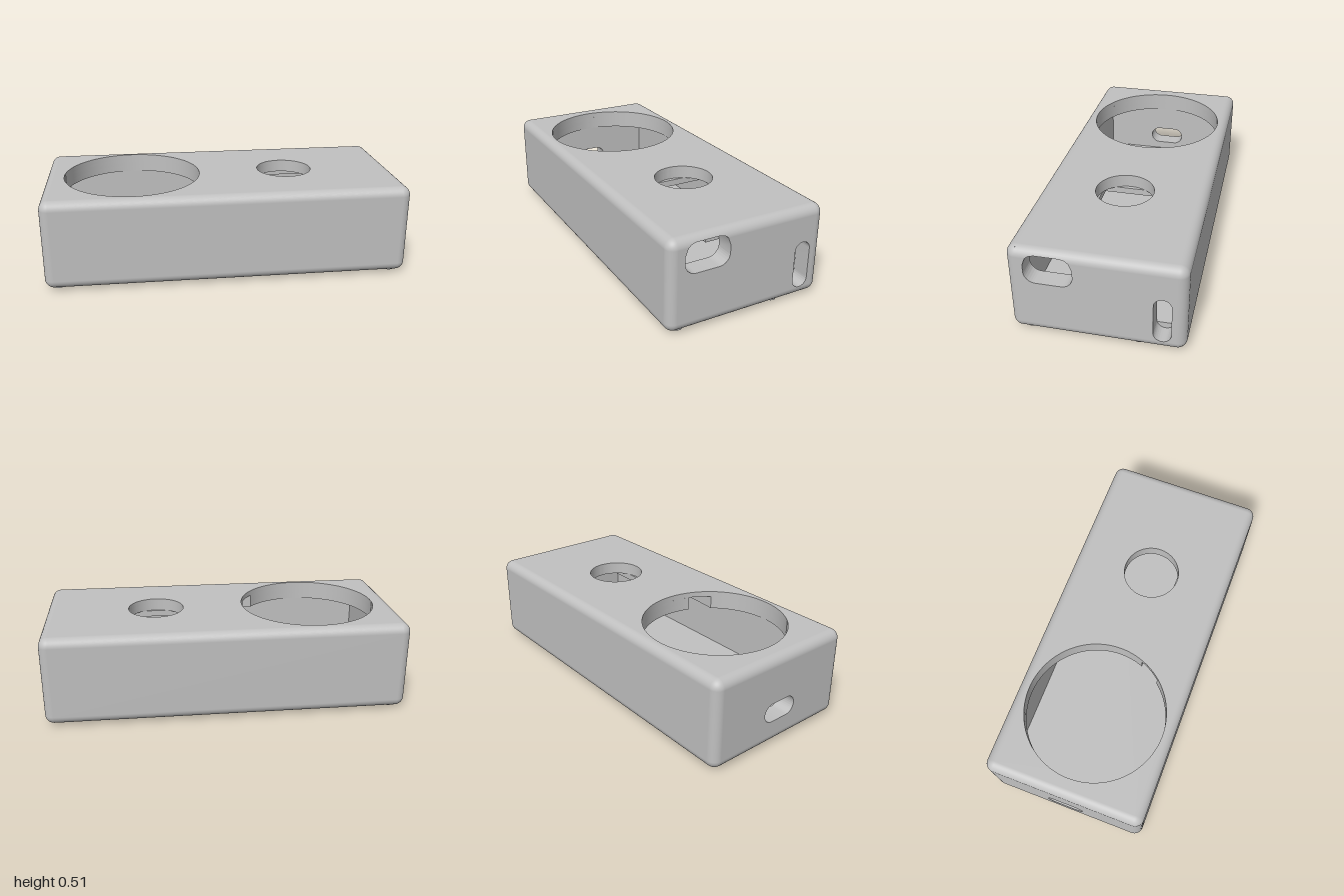
import * as THREE from 'three';
import { toCreasedNormals } from 'three/addons/utils/BufferGeometryUtils.js';
import { RoundedBoxGeometry } from 'three/addons/geometries/RoundedBoxGeometry.js';

const R = 0.05, TOP = 0.51, BASE = 0.015, H = TOP - BASE, MID = (TOP + BASE) / 2;
const FX = 1 - R, FZ = 0.445 - R, FY = TOP - R; // limits of the flat faces
const INNER = 0.9; // inside of the end walls
// large port on the +x end
const port = { z: 0.235, half: 0.123, low: 0.32, high: 0.48, r: 0.06 };
const portHalf = (y) => {
  const d = Math.max(0, y - (port.high - port.r));
  return port.half - port.r + Math.sqrt(Math.max(0, port.r ** 2 - d * d));
};

function extrude(shape, depth) {
  const geo = new THREE.ExtrudeGeometry(shape, { depth, bevelEnabled: false, curveSegments: 64 });
  return toCreasedNormals(geo, 0.5);
}

const rect = (Type, x0, y0, x1, y1) => new Type([[x0, y0], [x1, y0], [x1, y1], [x0, y1]].map((p) => new THREE.Vector2(...p)));

function circle(x, r) {
  const p = new THREE.Path();
  p.absarc(x, 0, r, 0, Math.PI * 2, true);
  return p;
}

// stadium-shaped hole
function stadium(cx, cy, hw, hh) {
  const p = new THREE.Path(), r = Math.min(hw, hh), dx = hw - r, dy = hh - r;
  [[1, 1], [-1, 1], [-1, -1], [1, -1]].forEach(([sx, sy], i) =>
    p.absarc(cx + sx * dx, cy + sy * dy, r, i * Math.PI / 2, (i + 1) * Math.PI / 2));
  return p;
}

// rounded outer edges, without the faces that carry openings
function casingGeometry() {
  const src = new RoundedBoxGeometry(2, H, 0.89, 6, R);
  const p = src.attributes.position, n = src.attributes.normal, e = 1e-4;
  const pos = [], nor = [];
  for (let i = 0; i < p.count; i += 3) {
    const t = [i, i + 1, i + 2];
    const end = [1, -1].some((s) => t.every((k) => p.getX(k) * s > 1 - e));
    const top = t.every((k) => p.getY(k) > H / 2 - e);
    const edge = t.every((k) => p.getX(k) > FX - e && p.getY(k) > H / 2 - R - e && Math.abs(p.getZ(k)) < FZ + e);
    if (end || top || edge) continue;
    for (const k of t) {
      pos.push(p.getX(k), p.getY(k), p.getZ(k));
      nor.push(n.getX(k), n.getY(k), n.getZ(k));
    }
  }
  const g = new THREE.BufferGeometry();
  g.setAttribute('position', new THREE.Float32BufferAttribute(pos, 3));
  g.setAttribute('normal', new THREE.Float32BufferAttribute(nor, 3));
  return g;
}

// rounded top edge of the +x end, with the upper part of the port left open
function portEdgeGeometry() {
  const pos = [], nor = [];
  const open = Math.asin((port.high - FY) / R), rows = [];
  for (let i = 0; i <= 4; i++) rows.push(open * i / 4);
  for (let i = 1; i <= 6; i++) rows.push(open + (Math.PI / 2 - open) * i / 6);
  const add = (a, z) => {
    pos.push(FX + R * Math.cos(a), FY + R * Math.sin(a), z);
    nor.push(Math.cos(a), Math.sin(a), 0);
  };
  const strip = (a, b, a0, a1, b0, b1) => {
    add(a, a0); add(b, b1); add(a, a1);
    add(a, a0); add(b, b0); add(b, b1);
  };
  for (let i = 0; i < rows.length - 1; i++) {
    const a = rows[i], b = rows[i + 1];
    if (i < 4) {
      const wa = portHalf(FY + R * Math.sin(a)), wb = portHalf(FY + R * Math.sin(b));
      strip(a, b, port.z + wa, FZ, port.z + wb, FZ);
      strip(a, b, -FZ, port.z - wa, -FZ, port.z - wb);
    } else strip(a, b, -FZ, FZ, -FZ, FZ);
  }
  // wind each triangle outward
  for (let i = 0; i < pos.length; i += 9) {
    const v = [0, 3, 6].map((k) => new THREE.Vector3().fromArray(pos, i + k));
    const f = v[1].clone().sub(v[0]).cross(v[2].clone().sub(v[0]));
    if (f.dot(new THREE.Vector3().fromArray(nor, i)) < 0) {
      for (const arr of [pos, nor]) {
        const m = arr.slice(i + 3, i + 6);
        for (let k = 0; k < 3; k++) { arr[i + 3 + k] = arr[i + 6 + k]; arr[i + 6 + k] = m[k]; }
      }
    }
  }
  const g = new THREE.BufferGeometry();
  g.setAttribute('position', new THREE.Float32BufferAttribute(pos, 3));
  g.setAttribute('normal', new THREE.Float32BufferAttribute(nor, 3));
  return g;
}

// lid layer outline: the large opening joined to the port by a channel (shape y is -z)
function channelShape(x) {
  const s = new THREE.Shape();
  s.moveTo(x, -0.112);
  s.lineTo(x, FZ);
  s.lineTo(-x, FZ);
  s.lineTo(-x, -FZ);
  s.lineTo(x, -FZ);
  if (x > INNER) s.lineTo(x, -0.358);
  if (x > INNER) s.lineTo(INNER, -0.358);
  s.lineTo(INNER, -0.315);
  s.absarc(-0.51, 0, 0.385, Math.atan2(-0.25, 0.293), Math.atan2(-0.137, 0.36), true);
  s.lineTo(INNER, -0.19);
  if (x > INNER) s.lineTo(INNER, -0.112);
  return s;
}

// end wall outline (shape x is -z) with the port as a notch in its top edge
function portWallShape() {
  const s = new THREE.Shape(), c = -port.z, { half, r, low } = port;
  s.moveTo(-FZ, FY);
  s.lineTo(c - portHalf(FY), FY);
  s.lineTo(c - half, port.high - r);
  s.absarc(c - half + r, low + r, r, Math.PI, Math.PI * 1.5);
  s.absarc(c + half - r, low + r, r, Math.PI * 1.5, Math.PI * 2);
  s.lineTo(c + half, port.high - r);
  s.lineTo(c + portHalf(FY), FY);
  s.lineTo(FZ, FY);
  s.lineTo(FZ, BASE + R);
  s.lineTo(-FZ, BASE + R);
  s.holes.push(stadium(0.326, 0.195, 0.045, 0.129));
  return s;
}

export function createModel() {
  const model = new THREE.Group();
  const grey = new THREE.MeshStandardMaterial({ color: 0xc0c0c0, side: THREE.DoubleSide });
  grey.name = 'light grey';
  const add = (name, geo, x = 0, y = 0, z = 0) => {
    const m = new THREE.Mesh(geo, grey);
    m.name = name;
    m.position.set(x, y, z);
    model.add(m);
  };

  // outer casing
  add('casing', casingGeometry(), 0, MID);
  add('portEdge', portEdgeGeometry());

  // lid in three layers: round openings, cable channel, recess under the small opening
  const lid = rect(THREE.Shape, -FX, -FZ, FX, FZ);
  lid.holes.push(circle(-0.51, 0.385), circle(0.375, 0.157));
  const channel = channelShape(FX);
  channel.holes.push(circle(0.375, 0.157));
  const ceiling = channelShape(INNER);
  ceiling.holes.push(rect(THREE.Path, 0.24, -0.145, 0.62, 0.2));
  add('lid', extrude(lid, 0.03).rotateX(-Math.PI / 2), 0, 0.48);
  add('channelLayer', extrude(channel, 0.04).rotateX(-Math.PI / 2), 0, 0.44);
  add('ceiling', extrude(ceiling, 0.035).rotateX(-Math.PI / 2), 0, 0.405);

  // end walls with slots
  const leftWall = rect(THREE.Shape, -FZ, BASE + R, FZ, FY);
  leftWall.holes.push(stadium(0, 0.2, 0.105, 0.053));
  add('portWall', extrude(portWallShape(), 1 - INNER).rotateY(Math.PI / 2), INNER);
  add('slotWall', extrude(leftWall, 1 - INNER).rotateY(Math.PI / 2), -1);

  // inside floor and long walls
  add('innerFloor', new THREE.BoxGeometry(2 * INNER, 0.07, 0.78), 0, 0.065, 0);
  for (const s of [1, -1]) add('innerWall', new THREE.BoxGeometry(2 * INNER, 0.35, 0.04), 0, 0.24, s * 0.41);

  // feet
  for (const [x, z] of [[0.93, 0.358], [0.93, -0.2], [-0.93, 0.358], [-0.93, -0.355]])
    add('foot', new THREE.CylinderGeometry(0.029, 0.029, 0.02, 32), x, 0.01, z);

  return model;
}
